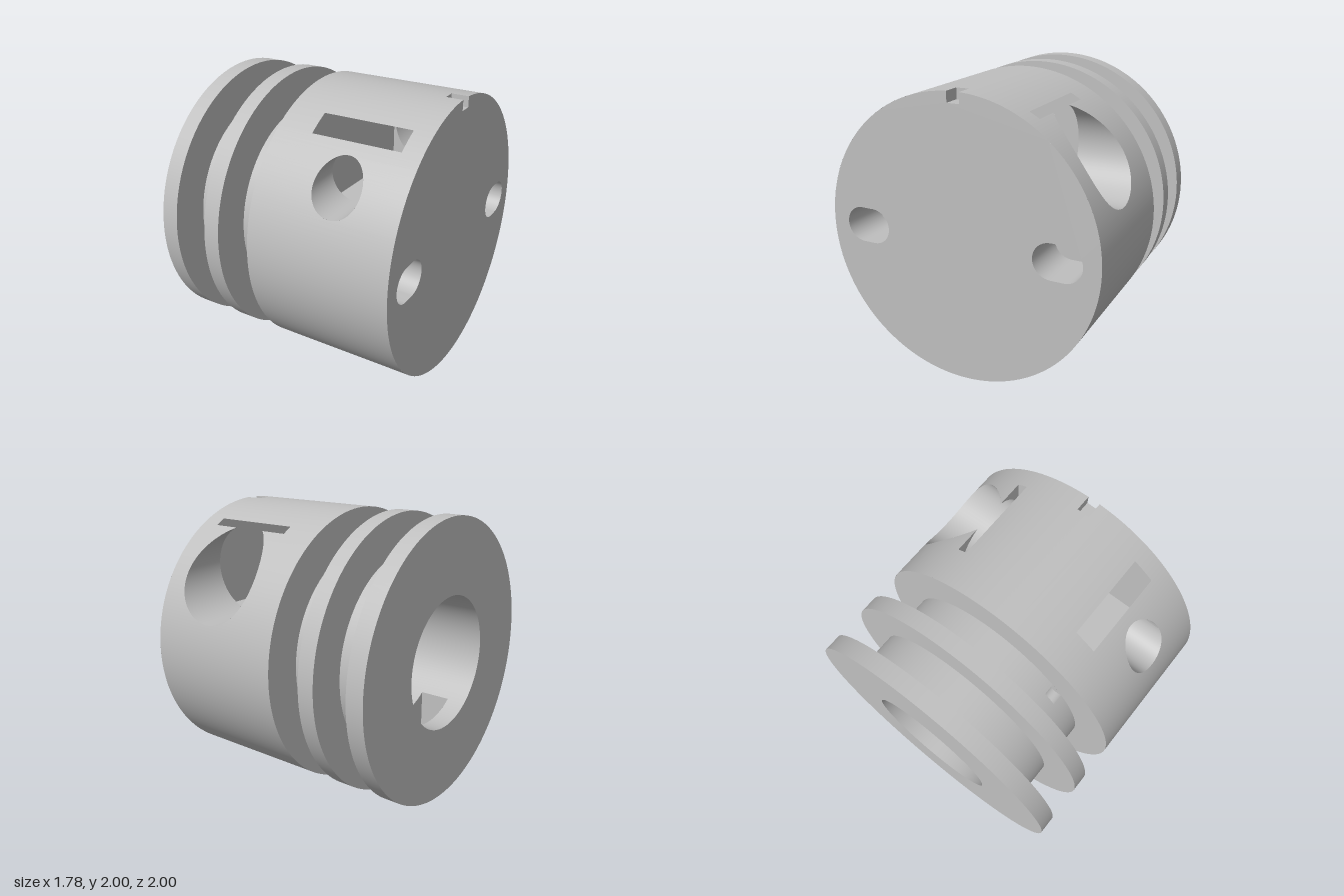
import * as THREE from 'three';

const steel = new THREE.MeshStandardMaterial({ color: 0xbfbfbf, side: THREE.DoubleSide });
steel.name = 'steel grey';

const V2 = (u, v) => new THREE.Vector2(u, v);
const V3 = (x, y, z) => new THREE.Vector3(x, y, z);
const chord = (d) => Math.sqrt(Math.max(0, 1 - d * d)); // half chord of the unit circle

// Main dimensions; the axis runs along x at height 1
const LEFT = -0.895, RIGHT = 0.89, BODY = -0.155, FLOOR_R = 0.73, BORE_R = 0.47, BORE_END = -0.02;
const flanges = [[LEFT, -0.77], [-0.52, -0.40]];
const cav = { x0: 0.11, x1: 0.75, y0: 1.25, y1: 1.893, back: -0.52, front: 0.6 };
const cavEdge = chord(cav.y1 - 1);
const frontTop = 1 + chord(cav.front), backTop = 1 + chord(cav.back);
const port = { x: 0.43, y: 1.57, front: 0.17, back: 0.31 };
const key = { x: 0.77, y: 1.925, w: 0.045 };
const oil = { x0: -0.76, x1: -0.54, w: 0.27 };
const pin = { x0: -0.235, r: 0.055, angle: Math.atan2(0.53, 0.5) };

// Points along an arc in a plane
function arc(cu, cv, r, a0, a1, n = 48) {
  return Array.from({ length: n + 1 }, (_, i) => {
    const a = a0 + (a1 - a0) * i / n;
    return V2(cu + r * Math.cos(a), cv + r * Math.sin(a));
  });
}

export function createModel() {
  const model = new THREE.Group();
  model.name = 'groovedPlug';

  const add = (name, geometry) => {
    const mesh = new THREE.Mesh(geometry, steel);
    mesh.name = name;
    model.add(mesh);
  };

  // Flat face from an outline, placed by a mapping of (u, v)
  function flat(name, outline, holes, place, flip) {
    const shape = new THREE.Shape(outline);
    shape.holes = holes.map((h) => new THREE.Path(h));
    const g = new THREE.ShapeGeometry(shape);
    const p = g.attributes.position;
    for (let i = 0; i < p.count; i++) {
      const q = place(p.getX(i), p.getY(i));
      p.setXYZ(i, q.x, q.y, q.z);
    }
    if (flip) g.setIndex([...g.index.array].reverse());
    g.computeVertexNormals();
    add(name, g);
  }
  const faceX = (name, outline, holes, x, towardsRight) =>
    flat(name, outline, holes, (u, v) => V3(x, v, u), towardsRight);
  const faceZ = (name, outline, holes, z, towardsBack) =>
    flat(name, outline, holes, (u, v) => V3(u, v, z), towardsBack);

  // Ruled surface between two rows of points
  function ruled(name, a, b) {
    const g = new THREE.BufferGeometry().setFromPoints([...a, ...b]);
    const n = a.length, index = [];
    for (let i = 0; i < n - 1; i++) index.push(i, i + 1, n + i, i + 1, n + i + 1, n + i);
    g.setIndex(index);
    g.computeVertexNormals();
    add(name, g);
  }

  // Cylindrical skin; angle 0 is the top, and features cut one gap in x per angle
  function skin(name, r, x0, x1, features = [], inward = false) {
    const levels = Array.from({ length: 145 }, (_, i) => -Math.PI + 2 * Math.PI * i / 144);
    for (const f of features) {
      for (let i = 0; i <= 32; i++) levels.push(f.a0 + (f.a1 - f.a0) * (1 - Math.cos(Math.PI * i / 32)) / 2);
    }
    levels.sort((a, b) => a - b);
    const pos = [], nor = [], s = inward ? -1 : 1;
    const put = (t, x) => {
      pos.push(x, 1 + r * Math.cos(t), r * Math.sin(t));
      nor.push(0, s * Math.cos(t), s * Math.sin(t));
    };
    const band = (t0, t1, l0, l1, h0, h1) => {
      const q = [[t0, l0], [t1, l1], [t1, h1], [t0, l0], [t1, h1], [t0, h0]];
      (inward ? q.reverse() : q).forEach(([t, x]) => put(t, x));
    };
    for (let i = 0; i < levels.length - 1; i++) {
      const t0 = levels[i], t1 = levels[i + 1], mid = (t0 + t1) / 2;
      if (t1 - t0 < 1e-7) continue;
      const f = features.find((k) => mid > k.a0 && mid < k.a1);
      if (!f) { band(t0, t1, x0, x0, x1, x1); continue; }
      const [l0, h0] = f.gap(t0), [l1, h1] = f.gap(t1);
      if (l0 > x0) band(t0, t1, x0, x0, l0, l1);
      if (h0 < x1) band(t0, t1, h0, h1, x1, x1);
    }
    const g = new THREE.BufferGeometry();
    g.setAttribute('position', new THREE.Float32BufferAttribute(pos, 3));
    g.setAttribute('normal', new THREE.Float32BufferAttribute(nor, 3));
    add(name, g);
  }

  const circle = (r) => arc(0, 1, r, 0, 2 * Math.PI, 144);
  const ang = (y) => Math.acos(Math.min(1, y - 1));
  const round = (r) => (t) => {
    const d = Math.sqrt(Math.max(0, r * r - (Math.cos(t) + 1 - port.y) ** 2));
    return [port.x - d, port.x + d];
  };
  const slot = () => [cav.x0, cav.x1];

  // Main body with cross ports, chamber openings and key notch
  const keyAngle = Math.asin(key.w);
  skin('bodySkin', 1, BODY, RIGHT, [
    { a0: ang(port.y + port.front), a1: ang(port.y - port.front), gap: round(port.front) },
    { a0: ang(cav.y1), a1: ang(frontTop), gap: slot },
    { a0: -ang(port.y - port.back), a1: -ang(backTop), gap: round(port.back) },
    { a0: -ang(backTop), a1: -ang(cav.y1), gap: slot },
    { a0: -keyAngle, a1: keyAngle, gap: () => [key.x, RIGHT] },
  ]);

  // Right end with two blind oval pockets
  const oval = (c) => [
    ...arc(c + 0.045, 1.005, 0.125, -Math.PI / 2, Math.PI / 2, 20),
    ...arc(c - 0.045, 1.005, 0.125, Math.PI / 2, 1.5 * Math.PI, 20),
  ];
  const ovals = [oval(-0.71), oval(0.71)];
  const rim = arc(0, 1, 1, Math.PI / 2 + keyAngle, 2.5 * Math.PI - keyAngle, 144);
  faceX('rightEnd', [...rim, V2(key.w, key.y), V2(-key.w, key.y)], ovals, RIGHT, true);
  for (const o of ovals) {
    const loop = [...o, o[0]];
    ruled('pocketWall', loop.map((p) => V3(RIGHT, p.y, p.x)), loop.map((p) => V3(0.54, p.y, p.x)));
    faceX('pocketFloor', o, [], 0.54, true);
  }

  // Key notch
  const keyTop = 1 + chord(key.w);
  ruled('notchFloor', [V3(key.x, key.y, -key.w), V3(key.x, key.y, key.w)], [V3(RIGHT, key.y, -key.w), V3(RIGHT, key.y, key.w)]);
  faceX('notchBack', [V2(-key.w, key.y), V2(key.w, key.y), V2(key.w, keyTop), V2(-key.w, keyTop)], [], key.x, true);
  for (const s of [-1, 1]) {
    faceZ('notchSide', [V2(key.x, key.y), V2(RIGHT, key.y), V2(RIGHT, keyTop), V2(key.x, keyTop)], [], s * key.w, s > 0);
  }

  // Inner chamber
  const side = [V2(cav.back, cav.y0), V2(cav.front, cav.y0), V2(cav.front, frontTop),
    ...arc(0, 1, 1, Math.asin(frontTop - 1), Math.asin(cav.y1 - 1), 8),
    ...arc(0, 1, 1, Math.PI - Math.asin(cav.y1 - 1), Math.PI - Math.asin(backTop - 1), 8)];
  faceX('chamberSide', side, [], cav.x0, true);
  faceX('chamberSide', side, [], cav.x1, false);
  const level = (name, y, z0, z1) =>
    ruled(name, [V3(cav.x0, y, z0), V3(cav.x0, y, z1)], [V3(cav.x1, y, z0), V3(cav.x1, y, z1)]);
  level('chamberFloor', cav.y0, cav.back, cav.front);
  level('chamberCeiling', cav.y1, -cavEdge, cavEdge);
  faceZ('chamberFrontWall', [V2(cav.x0, cav.y0), V2(cav.x1, cav.y0), V2(cav.x1, frontTop), V2(cav.x0, frontTop)],
    [arc(port.x, port.y, port.front, 0, 2 * Math.PI).slice(1)], cav.front, true);
  const cut = Math.asin((backTop - port.y) / port.back);
  faceZ('chamberBackWall', [V2(cav.x0, cav.y0), V2(cav.x1, cav.y0), V2(cav.x1, backTop),
    ...arc(port.x, port.y, port.back, cut, -Math.PI - cut, 64), V2(cav.x0, backTop)], [], cav.back, false);

  // Cross port walls, from the skin to the chamber
  const frontLoop = arc(port.x, port.y, port.front, 0, 2 * Math.PI);
  ruled('frontPort', frontLoop.map((p) => V3(p.x, p.y, chord(p.y - 1))), frontLoop.map((p) => V3(p.x, p.y, cav.front)));
  const backLoop = arc(port.x, port.y, port.back, cut, -Math.PI - cut, 64);
  ruled('backPort', backLoop.map((p) => V3(p.x, p.y, -chord(p.y - 1))), backLoop.map((p) => V3(p.x, p.y, cav.back)));

  // Flanges and groove side faces
  flanges.forEach(([x0, x1], i) => {
    skin('flangeRim', 1, x0, x1);
    faceX('flangeLeft', circle(1), [circle(i ? FLOOR_R : BORE_R)], x0, false);
    faceX('flangeRight', circle(1), [circle(FLOOR_R)], x1, true);
  });
  faceX('bodyShoulder', circle(1), [circle(FLOOR_R)], BODY, false);

  // Groove floors and bore, with a slot through the underside
  const oilGap = (r) => [1, -1].map((s) => {
    const a = Math.PI - Math.asin(oil.w / r);
    return { a0: s > 0 ? a : -Math.PI, a1: s > 0 ? Math.PI : -a, gap: () => [oil.x0, oil.x1] };
  });
  const pinHalf = 2 * Math.asin(pin.r / 2 / FLOOR_R);
  skin('outerGrooveFloor', FLOOR_R, -0.77, -0.52, oilGap(FLOOR_R));
  skin('innerGrooveFloor', FLOOR_R, -0.40, BODY,
    [{ a0: pin.angle - pinHalf, a1: pin.angle + pinHalf, gap: () => [pin.x0, BODY] }]);
  skin('bore', BORE_R, LEFT, BORE_END, oilGap(BORE_R), true);
  faceX('boreEnd', circle(BORE_R), [], BORE_END, false);

  // Slot walls between groove floor and bore
  const under = (r, x) => Array.from({ length: 17 }, (_, i) => {
    const z = oil.w * (i / 8 - 1);
    return V3(x, 1 - Math.sqrt(r * r - z * z), z);
  });
  for (const x of [oil.x0, oil.x1]) ruled('slotSide', under(FLOOR_R, x), under(BORE_R, x));
  for (const k of [0, 16]) {
    ruled('slotEnd', [under(FLOOR_R, oil.x0)[k], under(FLOOR_R, oil.x1)[k]], [under(BORE_R, oil.x0)[k], under(BORE_R, oil.x1)[k]]);
  }

  // Half-round pin seat in the inner groove
  const cz = FLOOR_R * Math.sin(pin.angle), cy = 1 + FLOOR_R * Math.cos(pin.angle);
  const inner = Math.atan2(1 - cy, -cz), spread = Math.PI / 2 - pinHalf / 2;
  const seat = arc(cz, cy, pin.r, inner - spread, inner + spread, 20);
  ruled('pinSeat', seat.map((p) => V3(pin.x0, p.y, p.x)), seat.map((p) => V3(BODY, p.y, p.x)));
  faceX('pinSeatEnd', seat, [], pin.x0, true);
  faceX('pinSeatEnd', seat, [], BODY, false);

  return model;
}
